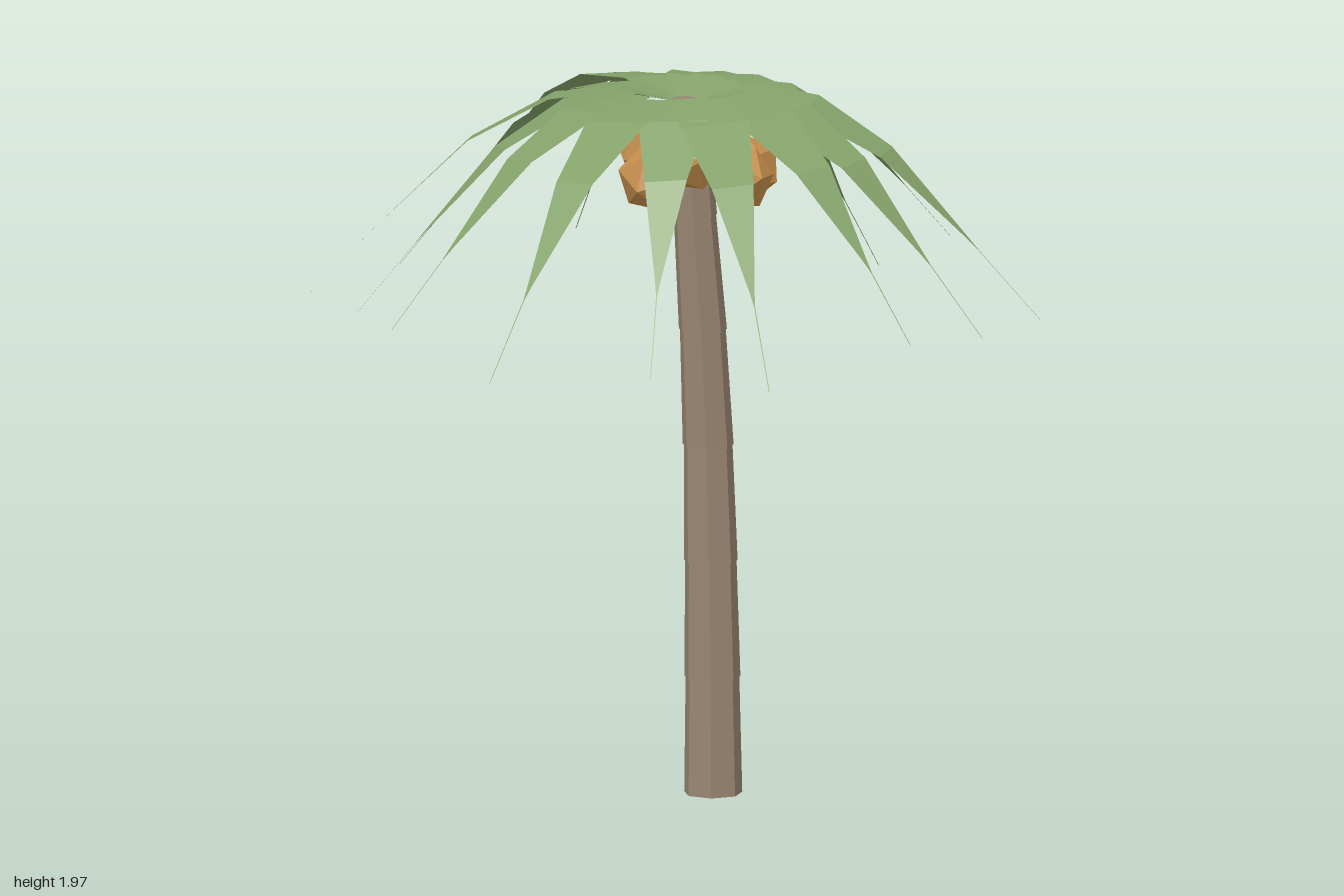
import * as THREE from 'three';

const flat = (g) => {
  const n = g.index ? g.toNonIndexed() : g;
  n.computeVertexNormals();
  return n;
};

// Frond cross-sections: [fraction of reach, fraction of droop, width]
const ROWS = [
  [0.17, 0.015, 0.165], [0.35, 0.06, 0.19], [0.565, 0.26, 0.116],
  [0.79, 0.63, 0.016], [0.825, 0.69, 0.003], [1, 1, 0.002],
];
const CROWN = { x: 0.02, y: 1.975, z: 0.02 };

// Frond tips: [x, z, y], going round the crown
const TIPS = [
  [0.02, -1.01, 1.525], [0.335, -0.94, 1.38], [0.71, -0.67, 1.35], [0.94, -0.37, 1.3],
  [0.91, 0.015, 1.445], [0.87, 0.36, 1.345], [0.657, 0.79, 1.375], [0.366, 0.93, 1.38],
  [0.08, 0.996, 1.405], [-0.37, 0.966, 1.325], [-0.57, 0.69, 1.34], [-0.95, 0.47, 1.335],
  [-0.945, 0.002, 1.405], [-0.81, -0.35, 1.38], [-0.77, -0.66, 1.36], [-0.345, -0.805, 1.385],
];

// A drooping, slightly banked leaf strip from the crown to its tip
function frondGeometry([tx, tz, ty]) {
  const dx = tx - CROWN.x, dz = tz - CROWN.z, reach = Math.hypot(dx, dz);
  const sx = dz / reach, sz = -dx / reach, bank = 0.08;
  const pos = [], idx = [];
  const addRow = (f, y, w) => {
    for (const s of [0.5, -0.5]) {
      pos.push(CROWN.x + dx * f + sx * w * s, y + w * s * bank, CROWN.z + dz * f + sz * w * s);
    }
  };
  addRow(0, 1.925, 0.02);
  for (const [f, d, w] of ROWS) addRow(f, CROWN.y - d * (CROWN.y - ty), w);
  for (let i = 0; i < ROWS.length; i++) {
    const a = i * 2;
    idx.push(a, a + 1, a + 2, a + 1, a + 3, a + 2);
  }
  const g = new THREE.BufferGeometry();
  g.setAttribute('position', new THREE.Float32BufferAttribute(pos, 3));
  g.setIndex(idx);
  return flat(g);
}

// One trunk ring, sheared so its ends stay level
function trunkSegment(x0, z0, r0, x1, z1, r1, h) {
  const g = new THREE.CylinderGeometry(r1, r0, h, 7);
  g.rotateY(-Math.PI / 2);
  const p = g.attributes.position;
  for (let i = 0; i < p.count; i++) {
    const t = p.getY(i) / h + 0.5;
    p.setX(i, p.getX(i) + x0 + (x1 - x0) * t);
    p.setZ(i, p.getZ(i) + z0 + (z1 - z0) * t);
  }
  return flat(g);
}

export function createModel() {
  const bark = new THREE.MeshStandardMaterial({ color: 0x9a8672 });
  bark.name = 'bark brown';
  const leaf = new THREE.MeshStandardMaterial({ color: 0x84a26a, side: THREE.DoubleSide });
  leaf.name = 'leaf green';
  const husk = new THREE.MeshStandardMaterial({ color: 0xc68f4c });
  husk.name = 'husk orange';

  const model = new THREE.Group();
  model.name = 'palmTree';
  const add = (parent, name, geo, mat) => {
    const m = new THREE.Mesh(geo, mat);
    m.name = name;
    parent.add(m);
    return m;
  };

  // Trunk: six seven-sided rings, each overhanging the one below
  const trunk = new THREE.Group();
  trunk.name = 'trunk';
  const xs = [0.115, 0.111, 0.104, 0.094, 0.075, 0.047, 0.02];
  const rs = [0.081, 0.078, 0.075, 0.071, 0.067, 0.062, 0.056];
  const h = 0.3225;
  for (let i = 0; i < 6; i++) {
    const z0 = 0.015 + i * 0.002;
    const g = trunkSegment(xs[i], z0, rs[i], xs[i + 1], z0 + 0.002, rs[i + 1] - 0.003, h);
    add(trunk, 'trunkRing', g, bark).position.y = h * (i + 0.5);
  }
  model.add(trunk);

  // Crown of fronds
  const crown = new THREE.Group();
  crown.name = 'crown';
  for (const tip of TIPS) add(crown, 'frond', frondGeometry(tip), leaf);
  model.add(crown);

  // Faceted coconuts clustered under the crown
  const nuts = new THREE.Group();
  nuts.name = 'coconuts';
  [
    [-0.12, 1.74, 0.06], [-0.05, 1.8, 0.14], [0.21, 1.725, 0.04],
    [0.13, 1.735, -0.1], [0.11, 1.73, 0.15], [-0.03, 1.8, -0.09],
  ].forEach(([x, y, z], i) => {
    const nut = add(nuts, 'coconut', new THREE.IcosahedronGeometry(0.095, 0), husk);
    nut.position.set(x, y, z);
    nut.rotation.set(0.5 + i * 0.3, i * 1.1, 0.2 * i);
  });
  model.add(nuts);

  return model;
}
